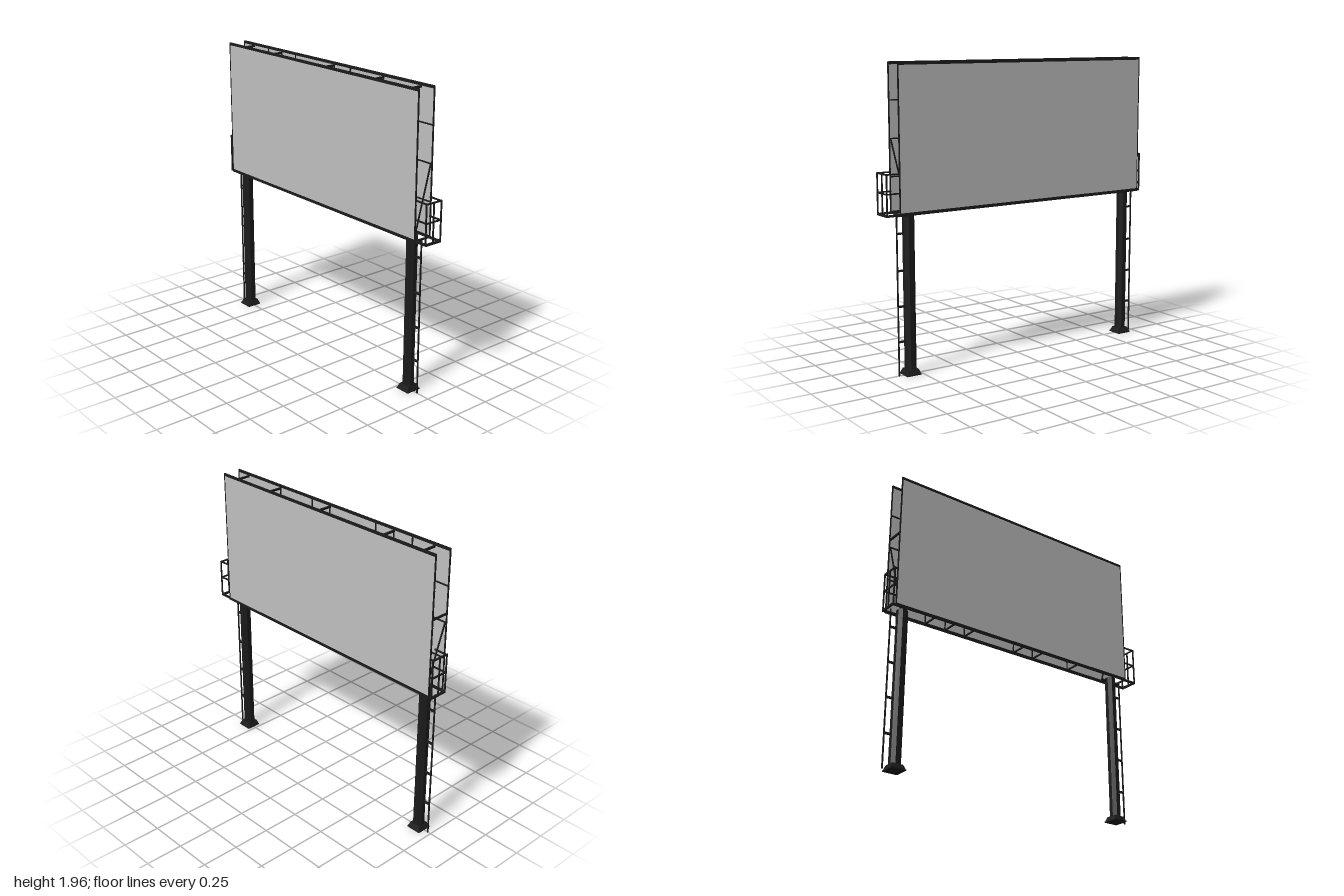
import * as THREE from 'three';

export function createModel() {
  const steel = new THREE.MeshStandardMaterial({ color: 0x1b1b1b, flatShading: true });
  steel.name = 'black steel';
  const sheet = new THREE.MeshStandardMaterial({ color: 0xc0c0c0 });
  sheet.name = 'grey sheet';

  const group = (name, parent) => {
    const g = new THREE.Group();
    g.name = name;
    parent.add(g);
    return g;
  };
  // Box given by its low and high corners
  const box = (parent, name, x0, x1, y0, y1, z0, z1, mat = steel) => {
    const m = new THREE.Mesh(new THREE.BoxGeometry(x1 - x0, y1 - y0, z1 - z0), mat);
    m.position.set((x0 + x1) / 2, (y0 + y1) / 2, (z0 + z1) / 2);
    m.name = name;
    parent.add(m);
    return m;
  };
  // Square bar between two points
  const bar = (parent, name, a, b, t = 0.01) => {
    const p = new THREE.Vector3(...a), q = new THREE.Vector3(...b);
    const m = new THREE.Mesh(new THREE.BoxGeometry(t, p.distanceTo(q), t), steel);
    m.position.copy(p).add(q).multiplyScalar(0.5);
    m.quaternion.setFromUnitVectors(new THREE.Vector3(0, 1, 0), q.sub(p).normalize());
    m.name = name;
    parent.add(m);
  };

  const model = new THREE.Group();
  model.name = 'billboard';
  const L = -0.98, R = 0.91, B = 1.03, T = 1.96, Z = 0.062;
  const postX = [-0.895, 0.82];
  const stations = [-0.69, -0.54, -0.39, 0.01, 0.17, 0.475];

  // Two display panels, back to back, with frames and inner stiffeners
  for (const s of [1, -1]) {
    const panel = group(s > 0 ? 'frontPanel' : 'backPanel', model);
    box(panel, 'panelSheet', L + 0.003, R - 0.003, B + 0.003, T - 0.003, s * Z - 0.002, s * Z + 0.002, sheet);
    box(panel, 'topEdge', L, R, T - 0.015, T + 0.003, s * Z - 0.004, s * Z + 0.004);
    box(panel, 'bottomEdge', L, R, B - 0.003, B + 0.017, s * Z - 0.004, s * Z + 0.004);
    for (const x of [L, R - 0.007])
      box(panel, 'sideEdge', x, x + 0.007, B, T, s * Z - 0.004, s * Z + 0.004);
    const zi = s * (Z - 0.005);
    for (const y of [1.26, 1.495, 1.73])
      bar(panel, 'stringer', [L + 0.003, y, zi], [R - 0.003, y, zi], 0.008);
    for (const x of stations)
      bar(panel, 'stud', [x, B, zi], [x, T - 0.01, zi], 0.007);
    bar(panel, 'endBrace', [0.79, B, zi], [0.9, 1.49, zi], 0.008);
    bar(panel, 'endBrace', [-0.86, B, zi], [-0.97, 1.49, zi], 0.008);
  }

  // Cross ties between the panels
  const ties = group('crossTies', model);
  for (const x of stations)
    bar(ties, 'bottomTie', [x, B + 0.007, -Z], [x, B + 0.007, Z], 0.009);
  for (const x of [-0.86, -0.54, 0.01, 0.475, 0.8])
    bar(ties, 'topTie', [x, 1.94, -Z], [x, 1.94, Z], 0.012);
  bar(ties, 'middleTie', [-0.974, 1.55, -Z], [-0.974, 1.55, Z], 0.011);

  // Posts with flared feet and side ladders
  postX.forEach((x, i) => {
    const side = i ? 1 : -1;
    const leg = group(i ? 'leftPost' : 'rightPost', model);
    const post = new THREE.Mesh(new THREE.CylinderGeometry(0.038, 0.038, 1.04, 8), steel);
    post.rotation.y = Math.PI / 8;
    post.position.set(x, 0.52, 0);
    post.name = 'postShaft';
    leg.add(post);
    box(leg, 'footPlate', x - 0.051, x + 0.051, 0, 0.008, -0.051, 0.051);
    const foot = new THREE.Mesh(
      new THREE.CylinderGeometry(0.037 * Math.SQRT2, 0.049 * Math.SQRT2, 0.03, 4), steel);
    foot.rotation.y = Math.PI / 4;
    foot.position.set(x, 0.022, 0);
    foot.name = 'footFlare';
    leg.add(foot);

    const ladder = group('ladder', leg);
    const railX = x + side * 0.081;
    bar(ladder, 'ladderRail', [railX, 0, 0], [railX, B, 0], 0.008);
    for (const y of [0.22, 0.447, 0.675, 0.91])
      bar(ladder, 'rung', [x + side * 0.03, y, 0], [railX, y, 0], 0.012);
  });
  bar(model, 'postStub', [0.74, 1.02, 0], [0.9, 1.02, 0], 0.01);

  // End railings beside the panels
  for (const [name, outer, inner] of [['leftRailing', 0.996, 0.905], ['rightRailing', -0.996, -0.905]]) {
    const cage = group(name, model);
    const zr = Z - 0.001;
    for (const y of [B + 0.006, 1.17, 1.29]) {
      const t = y < 1.1 ? 0.013 : 0.009;
      bar(cage, 'endRail', [outer, y, -zr], [outer, y, zr], t);
      for (const s of [1, -1])
        bar(cage, 'sideRail', [inner, y, s * (zr - 0.004)], [outer, y, s * (zr - 0.004)], t);
    }
    for (const z of [-zr, 0, zr])
      bar(cage, 'railPost', [outer, B, z], [outer, 1.294, z], 0.008);
    bar(cage, 'innerTie', [inner, B + 0.006, -zr], [inner, B + 0.006, zr], 0.01);
  }
  return model;
}
